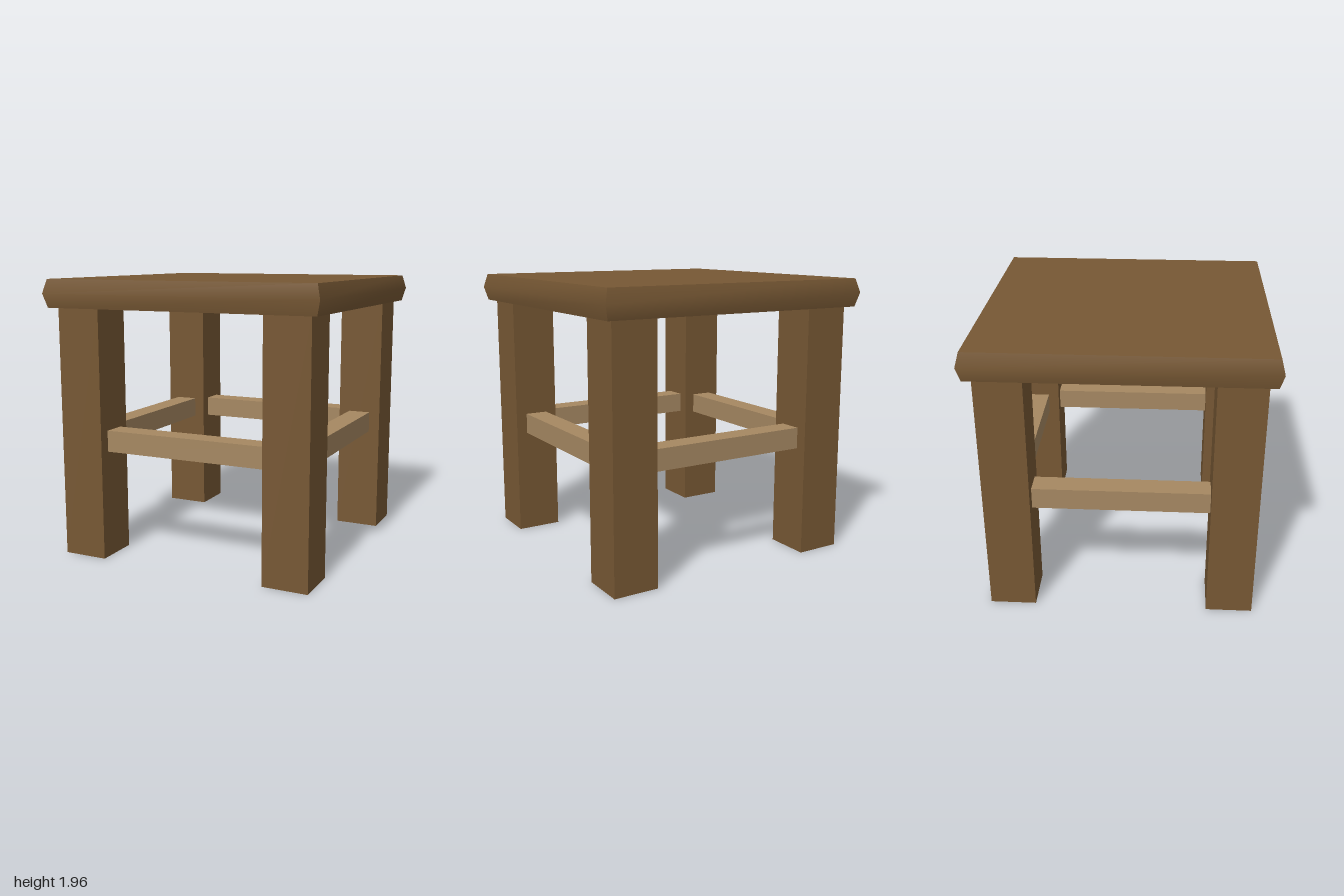
import * as THREE from 'three';

export function createModel() {
  const group = new THREE.Group();
  group.name = 'stool';

  const darkWood = new THREE.MeshStandardMaterial({ color: 0x775834 });
  darkWood.name = 'dark wood';
  const lightWood = new THREE.MeshStandardMaterial({ color: 0xa68862 });
  lightWood.name = 'light wood';

  const add = (name, geometry, material, x, y, z) => {
    const mesh = new THREE.Mesh(geometry, material);
    mesh.name = name;
    mesh.position.set(x, y, z);
    group.add(mesh);
    return mesh;
  };

  const legHeight = 1.76, legWidth = 0.32, legOffset = 0.765;
  const seatHeight = 0.195;

  // Seat: a slab whose sides bulge at mid height, smooth along each side, sharp at corners
  const seat = new THREE.BoxGeometry(2, seatHeight, 2, 1, 2, 1);
  const pos = seat.attributes.position;
  for (let i = 0; i < pos.count; i++) {
    const inset = Math.abs(pos.getY(i)) > 0.01 ? 0.975 : 1;
    pos.setX(i, pos.getX(i) * inset);
    pos.setZ(i, pos.getZ(i) * inset);
  }
  seat.computeVertexNormals();
  add('seat', seat, darkWood, 0, legHeight + seatHeight / 2, 0);

  // Four square legs
  const leg = new THREE.BoxGeometry(legWidth, legHeight, legWidth);
  for (const [side, x] of [['Left', 1], ['Right', -1]]) {
    for (const [end, z] of [['front', 1], ['back', -1]]) {
      add(`${end}${side}Leg`, leg, darkWood, x * legOffset, legHeight / 2, z * legOffset);
    }
  }

  // Four rails running between the inner faces of the legs
  const rail = new THREE.BoxGeometry(2 * legOffset - legWidth, 0.15, 0.16);
  const railY = 0.835;
  ['frontRail', 'leftRail', 'backRail', 'rightRail'].forEach((name, i) => {
    const angle = (i * Math.PI) / 2;
    const mesh = add(name, rail, lightWood,
      Math.sin(angle) * legOffset, railY, Math.cos(angle) * legOffset);
    mesh.rotation.y = angle;
  });

  return group;
}
